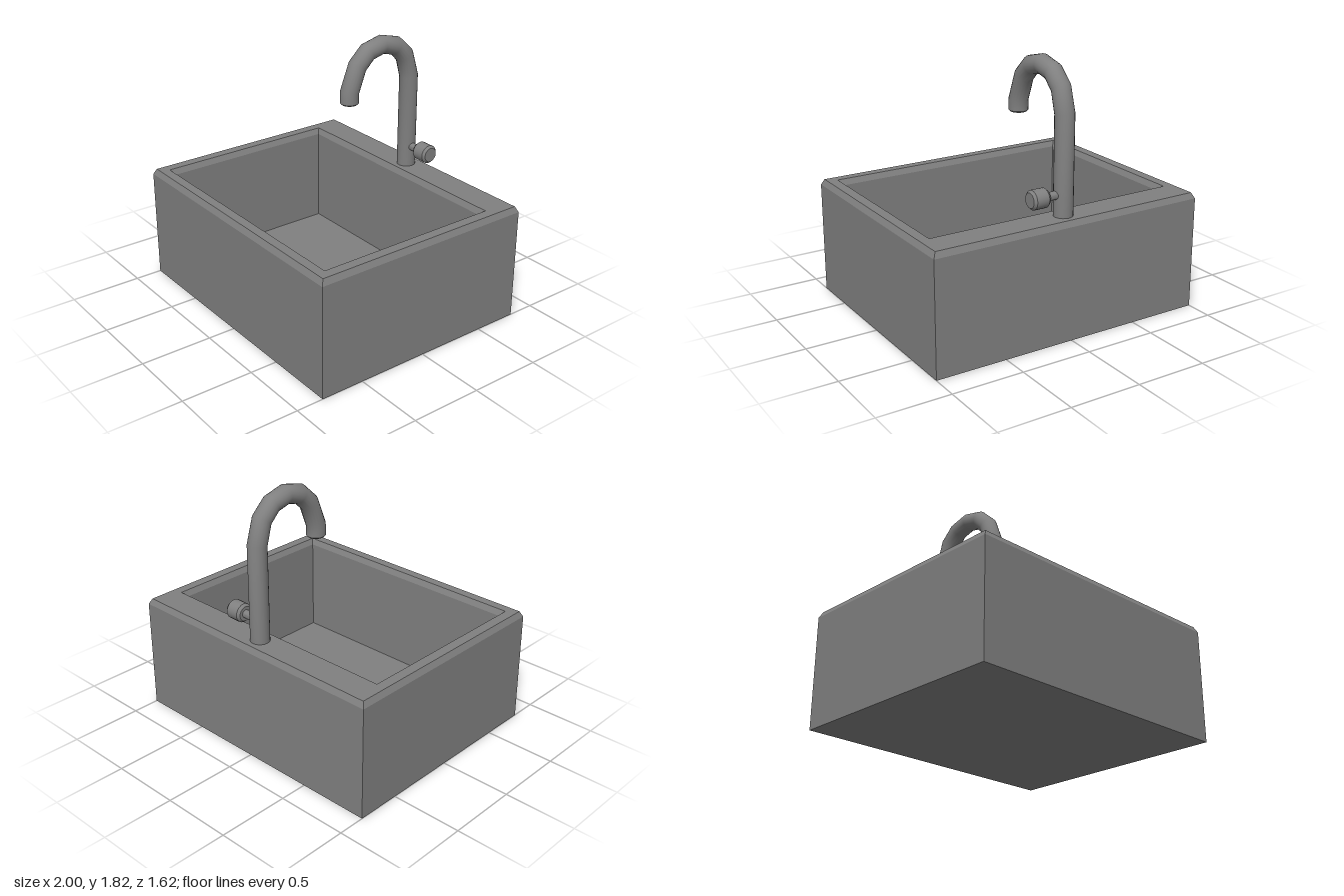
import * as THREE from 'three';
import { toCreasedNormals } from 'three/addons/utils/BufferGeometryUtils.js';

const grey = new THREE.MeshStandardMaterial({ color: 0x808080 });
grey.name = 'grey';

// Skin a list of equal-sized rings, closing both ends
function loft(rings, crease) {
  const n = rings[0].length;
  const index = [];
  for (let r = 0; r < rings.length - 1; r++) {
    for (let i = 0; i < n; i++) {
      const a = r * n + i, b = r * n + (i + 1) % n;
      index.push(a, b, b + n, a, b + n, a + n);
    }
  }
  const last = (rings.length - 1) * n;
  for (let i = 1; i < n - 1; i++) {
    index.push(0, i + 1, i, last, last + i, last + i + 1);
  }
  const geo = new THREE.BufferGeometry();
  geo.setAttribute('position', new THREE.Float32BufferAttribute(rings.flat(2), 3));
  geo.setIndex(index);
  return toCreasedNormals(geo, crease);
}

// Horizontal rectangle, counter-clockwise from above
const rect = (x, back, front, y) =>
  [[x, y, front], [x, y, back], [-x, y, back], [-x, y, front]];

// Spout ring at (z, y), its axis turned forward from vertical by deg
function spoutRing([z, y, r, deg], sides = 20) {
  const t = THREE.MathUtils.degToRad(deg);
  return Array.from({ length: sides }, (_, i) => {
    const a = (i / sides) * Math.PI * 2;
    const s = r * Math.sin(a);
    return [r * Math.cos(a), y + s * Math.sin(t), z - s * Math.cos(t)];
  });
}

export function createModel() {
  const group = new THREE.Group();
  const add = (name, geo) => {
    const mesh = new THREE.Mesh(geo, grey);
    mesh.name = name;
    group.add(mesh);
    return mesh;
  };

  // Basin: outer walls, bevelled rim, inner walls and floor
  const floorY = 0.1;
  add('basin', loft([
    rect(1, -0.81, 0.81, 0),
    rect(1, -0.81, 0.81, 0.785),
    rect(0.98, -0.79, 0.79, 0.825),
    rect(0.91, -0.59, 0.725, 0.825),
    rect(0.89, -0.57, 0.705, 0.785),
    rect(0.89, -0.57, 0.705, floorY),
  ], 0.2));

  // Drain: flat octagonal flange with a slightly raised plug
  [['drainFlange', 0.165, 0.004], ['drainPlug', 0.135, 0.008]].forEach(([name, r, h]) => {
    add(name, new THREE.CylinderGeometry(r, r, h, 8).toNonIndexed())
      .position.set(0, floorY + h / 2, -0.12);
  });

  // Gooseneck tap with a hollow outlet
  const r = 0.065;
  add('tapSpout', loft([
    [-0.69, 0.82, r, 0],
    [-0.69, 1.49, r, 8],
    [-0.645, 1.645, r, 36],
    [-0.56, 1.727, r, 62],
    [-0.44, 1.757, r, 90],
    [-0.32, 1.727, r, 118],
    [-0.235, 1.645, r, 144],
    [-0.17, 1.475, r, 170],
    [-0.17, 1.402, r, 180],
    [-0.17, 1.392, 0.055, 180],
    [-0.17, 1.392, 0.045, 180],
    [-0.17, 1.43, 0.045, 180],
  ].map((s) => spoutRing(s)), 0.6));

  // Side handle: thin stem and bevelled knob
  const profile = [
    [0, 0.05], [0.028, 0.05], [0.028, 0.13], [0.05, 0.13],
    [0.065, 0.148], [0.065, 0.238], [0.05, 0.255], [0, 0.255],
  ].map(([x, y]) => new THREE.Vector2(x, y));
  const handle = add('tapHandle', toCreasedNormals(new THREE.LatheGeometry(profile, 20), 0.5));
  handle.rotation.z = -Math.PI / 2;
  handle.position.set(0, 0.97, -0.69);

  return group;
}
